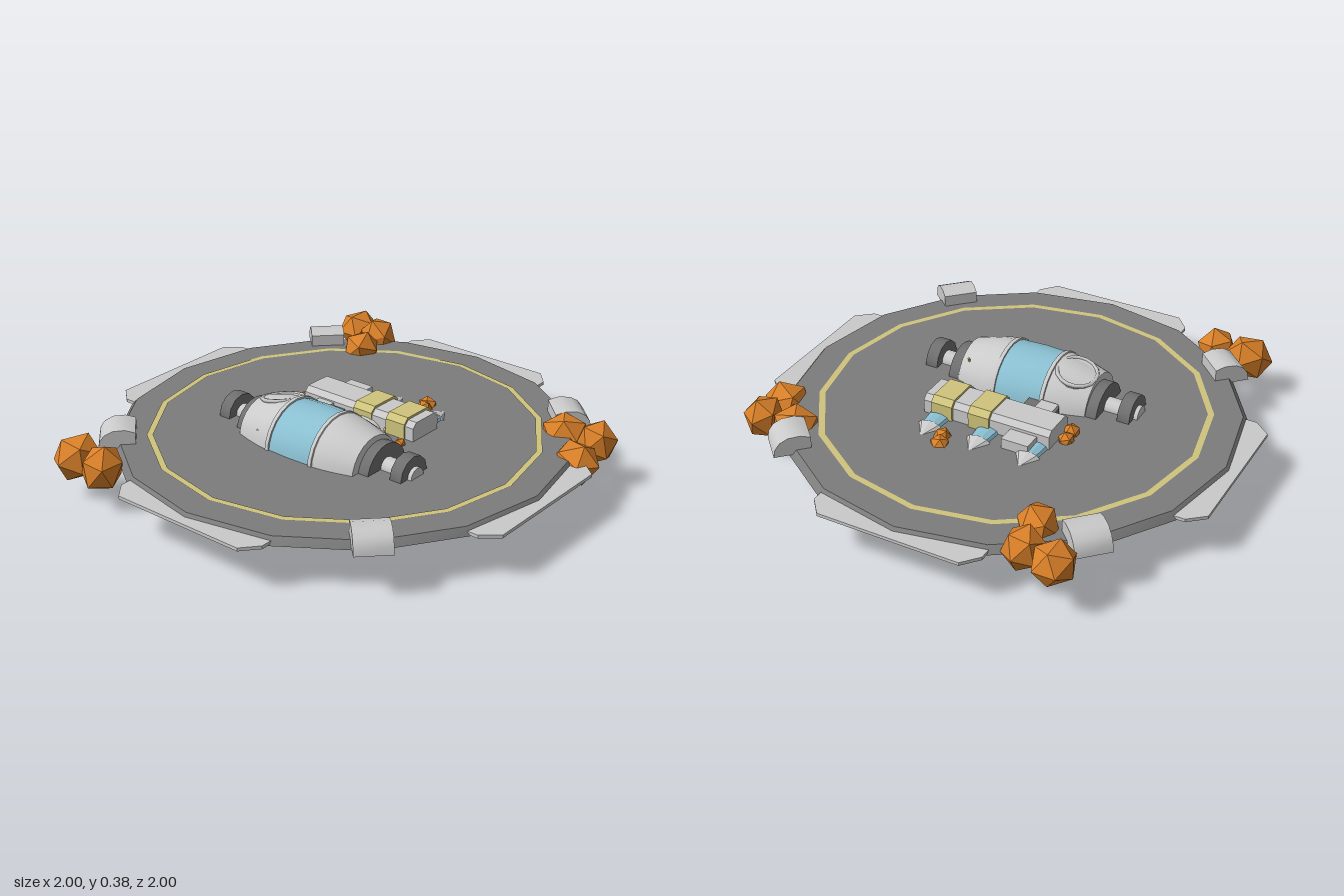
import * as THREE from 'three';
import { toCreasedNormals } from 'three/addons/utils/BufferGeometryUtils.js';

export function createModel() {
  const model = new THREE.Group();
  const mat = (name, color, flat = false) => {
    const m = new THREE.MeshStandardMaterial({ color, flatShading: flat });
    m.name = name;
    return m;
  };
  const light = mat('lightGrey', 0xcacaca);
  const deck = mat('deckGrey', 0x7c7c7c);
  const dark = mat('darkGrey', 0x707070);
  const blue = mat('glassBlue', 0x8ac0d2);
  const yellow = mat('paleYellow', 0xcfc47c);
  const orange = mat('crystalOrange', 0xd87f28, true);

  const add = (name, geo, material, x = 0, y = 0, z = 0, parent = model) => {
    const mesh = new THREE.Mesh(geo, material);
    mesh.name = name;
    mesh.position.set(x, y, z);
    parent.add(mesh);
    return mesh;
  };
  const crease = (g) => toCreasedNormals(g, 0.55);
  const pts = (list) => list.map(([a, b]) => new THREE.Vector2(a, b));
  const extrude = (list, depth) =>
    new THREE.ExtrudeGeometry(new THREE.Shape(pts(list)), { depth, bevelEnabled: false });
  const box = (name, m, w, h, d, x, y, z) => add(name, new THREE.BoxGeometry(w, h, d), m, x, y, z);

  // Sixteen-sided landing deck with a sloped rim and a painted ring
  add('deck', crease(new THREE.CylinderGeometry(0.945, 0.97, 0.03, 16)), deck, 0, 0.205, 0);
  add('deckRing', new THREE.RingGeometry(0.8, 0.826, 16).rotateX(-Math.PI / 2), yellow, 0, 0.223, 0);

  // Edge plates on the four sides, curved clamps on the four diagonals
  for (let i = 0; i < 4; i++) {
    const side = new THREE.Group();
    side.name = 'deckSide';
    side.rotation.y = (i * Math.PI) / 2;
    model.add(side);
    const plate = extrude([[-0.37, 0.86], [0.37, 0.86], [0.37, 0.93], [0.31, 1], [-0.31, 1], [-0.37, 0.93]], 0.014);
    add('edgePlate', plate.rotateX(Math.PI / 2), light, 0, 0.206, 0, side);

    const corner = new THREE.Group();
    corner.name = 'deckCorner';
    corner.rotation.y = Math.PI / 4 + (i * Math.PI) / 2;
    model.add(corner);
    const clamp = extrude([[0.868, 0.2], [1.022, 0.2], [1.015, 0.235], [0.995, 0.262], [0.96, 0.28], [0.91, 0.283], [0.868, 0.27]], 0.15);
    add('edgeClamp', crease(clamp), light, 0, 0, -0.075, corner);
  }

  // Half-barrel cabin lying along z
  const halfBarrel = (profile) =>
    crease(new THREE.LatheGeometry(pts(profile), 12, Math.PI / 2, Math.PI).rotateX(Math.PI / 2));
  const cabin = new THREE.Group();
  cabin.name = 'cabin';
  cabin.position.set(-0.188, 0.2, 0);
  model.add(cabin);
  add('cabinWindowBand', halfBarrel([[0, -0.11], [0.178, -0.11], [0.182, 0], [0.178, 0.11], [0, 0.11]]), blue, 0, 0, 0, cabin);
  for (const s of [-1, 1]) {
    const end = halfBarrel([[0, 0.105], [0.186, 0.105], [0.186, 0.122], [0.181, 0.124], [0.175, 0.17],
      [0.162, 0.23], [0.142, 0.3], [0, 0.3]]);
    const shell = add('cabinEnd', end, light, 0, 0, 0, cabin);
    if (s < 0) shell.rotation.y = Math.PI;
    add('cabinCollar', halfBarrel([[0, -0.024], [0.123, -0.024], [0.123, 0.024], [0, 0.024]]), dark, 0.016, -0.005, s * 0.325, cabin);
    const rod = (name, r, len, m, z) =>
      add(name, crease(new THREE.CylinderGeometry(r, r, len, 12).rotateX(Math.PI / 2)), m, 0.018, 0.02, s * z, cabin);
    rod('axle', 0.041, 0.2, light, 0.4);
    rod('axleHub', 0.085, 0.055, dark, 0.455);
  }

  // Round hatch, vent and small mast on the cabin
  const hatch = add('hatch', crease(new THREE.CylinderGeometry(0.085, 0.095, 0.1, 16)), light, -0.165, 0.305, -0.2);
  hatch.rotation.set(-0.2, 0, -0.15);
  add('hatchRim', new THREE.TorusGeometry(0.085, 0.009, 6, 16).rotateX(Math.PI / 2), light, 0, 0.048, 0, hatch);
  add('vent', new THREE.SphereGeometry(0.02, 8, 6), dark, -0.335, 0.27, -0.18).scale.set(0.4, 0.7, 1.1);
  const mast = add('mast', new THREE.CylinderGeometry(0.005, 0.005, 0.06, 6), yellow, -0.085, 0.3, 0.26);
  mast.rotation.z = -0.5;

  // Chamfered cargo module with two straps
  const chamfer = (w, h, d, c) => extrude([[-w, 0], [w, 0], [w, h - c], [w - c, h], [-w + c, h], [-w, h - c]], d);
  add('cargoModule', chamfer(0.083, 0.085, 0.58, 0.022), light, 0.147, 0.215, -0.28);
  for (const z of [-0.01, 0.162])
    add('cargoStrap', chamfer(0.091, 0.093, 0.096, 0.024), yellow, 0.15, 0.217, z);
  box('sideUnit', light, 0.08, 0.05, 0.12, 0.268, 0.24, -0.165);
  box('sideUnitCap', dark, 0.05, 0.02, 0.16, 0.255, 0.225, -0.17);
  box('connector', dark, 0.09, 0.05, 0.14, 0.03, 0.235, -0.13);
  box('connectorTop', light, 0.08, 0.02, 0.08, 0.03, 0.262, -0.16);
  add('pressureBall', new THREE.SphereGeometry(0.085, 16, 10), light, 0.075, 0.2, 0.05).scale.set(1, 0.75, 1.1);

  // Three tanks hanging under the deck, each with a glass probe above
  const tank = crease(new THREE.LatheGeometry(pts([[0, -0.08], [0.06, -0.08], [0.066, 0], [0.084, 0.005],
    [0.098, 0.1], [0.11, 0.2], [0.112, 0.3], [0.106, 0.4], [0.095, 0.468], [0, 0.468]]), 18).rotateZ(-Math.PI / 2));
  const probe = crease(new THREE.CylinderGeometry(0.042, 0.055, 0.12, 10).rotateZ(-Math.PI / 2));
  const tip = crease(new THREE.ConeGeometry(0.057, 0.085, 8).rotateZ(-Math.PI / 2));
  for (const z of [-0.225, 0, 0.225]) {
    add('tank', tank, light, 0, 0.112, z).scale.y = 0.92;
    add('probe', probe, blue, 0.255, 0.217, z).scale.y = 0.5;
    add('probeTip', tip, light, 0.348, 0.217, z).scale.y = 0.45;
  }

  // Crystal boulders around the rim and small shards near the module
  const crystals = [
    [0.855, 0.225, -0.625, 0.092], [0.68, 0.215, -0.47, 0.092], [0.83, 0.225, -0.485, 0.09],
    [-0.855, 0.19, -0.705, 0.1], [-0.86, 0.19, -0.555, 0.094],
    [0.4, 0.18, 0.87, 0.1], [0.55, 0.205, 0.72, 0.092], [0.56, 0.21, 0.87, 0.088],
    [0.08, 0.22, -0.305, 0.04], [0.135, 0.22, -0.31, 0.038], [0.35, 0.215, 0.145, 0.04],
    [0.395, 0.215, 0.13, 0.04], [0.015, 0.22, 0.27, 0.026], [0.02, 0.215, 0.14, 0.025],
    [-0.24, 0.19, 0.3, 0.025], [-0.1, 0.19, 0.31, 0.025],
  ];
  const rock = new THREE.IcosahedronGeometry(1, 0);
  crystals.forEach(([x, y, z, r], i) => {
    const c = add(r > 0.05 ? 'crystal' : 'crystalShard', rock, orange, x, y, z);
    c.scale.set(r * 1.12, r * 0.95, r);
    c.rotation.set(i * 1.3, i * 2.1, i * 0.7);
  });
  return model;
}
